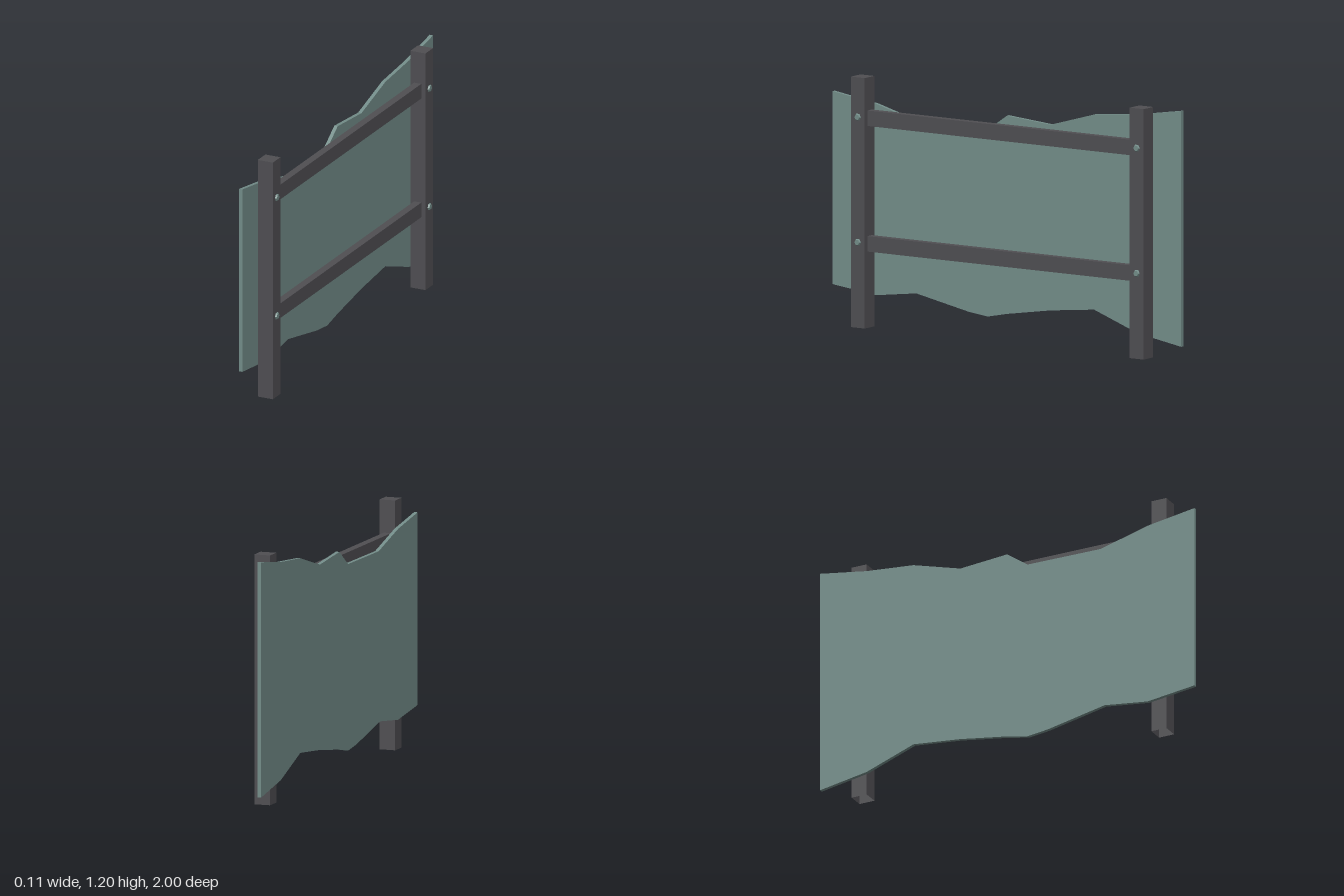
import * as THREE from 'three';

export function createModel() {
  const model = new THREE.Group();
  const frameMat = new THREE.MeshStandardMaterial({ color: 0x4f4e52, side: THREE.DoubleSide });
  frameMat.name = 'dark frame';
  const panelMat = new THREE.MeshStandardMaterial({ color: 0x738d89 });
  panelMat.name = 'grey green panel';

  const add = (name, geometry, material, x, y, z) => {
    const mesh = new THREE.Mesh(geometry, material);
    mesh.name = name;
    mesh.position.set(x, y, z);
    model.add(mesh);
    return mesh;
  };

  // Wavy-edged panel: outline in (z, y), extruded across its thickness
  const top = [[1, 1.105], [0.75, 1.067], [0.5, 1], [0.11, 1.003], [0, 1.08],
    [-0.25, 1.06], [-0.5, 1.132], [-0.75, 1.155], [-1, 1.195]];
  const bottom = [[-1, 0.065], [-0.75, 0.107], [-0.5, 0.197], [-0.25, 0.17], [0, 0.13],
    [0.11, 0.107], [0.22, 0.12], [0.52, 0.18], [0.75, 0.15], [1, 0.18]];
  const outline = new THREE.Shape([...top, ...bottom].map(([z, y]) => new THREE.Vector2(-z, y)));
  const panelGeo = new THREE.ExtrudeGeometry(outline, { depth: 0.018, bevelEnabled: false });
  panelGeo.rotateY(Math.PI / 2);
  add('panel', panelGeo, panelMat, -0.054, 0, 0);

  // Square posts, open underneath
  const postGeo = new THREE.BoxGeometry(0.08, 1.2, 0.08);
  const index = Array.from(postGeo.index.array);
  index.splice(18, 6);
  postGeo.setIndex(index);
  postGeo.clearGroups();

  // Low six-sided bolt heads facing +x
  const boltGeo = new THREE.CylinderGeometry(0.014, 0.019, 0.009, 6).toNonIndexed();
  boltGeo.rotateZ(-Math.PI / 2);
  boltGeo.computeVertexNormals();

  for (const side of [1, -1]) {
    const end = side > 0 ? 'front' : 'rear';
    add(end + 'Post', postGeo, frameMat, 0.005, 0.6, side * 0.8);
    add(end + 'UpperBolt', boltGeo, panelMat, 0.0485, 1.01, side * 0.8);
    add(end + 'LowerBolt', boltGeo, panelMat, 0.0485, 0.41, side * 0.8);
  }

  // Rails between the posts
  const railGeo = new THREE.BoxGeometry(0.038, 0.074, 1.52);
  add('upperRail', railGeo, frameMat, 0.004, 1.005, 0);
  add('lowerRail', railGeo, frameMat, 0.004, 0.403, 0);

  return model;
}
